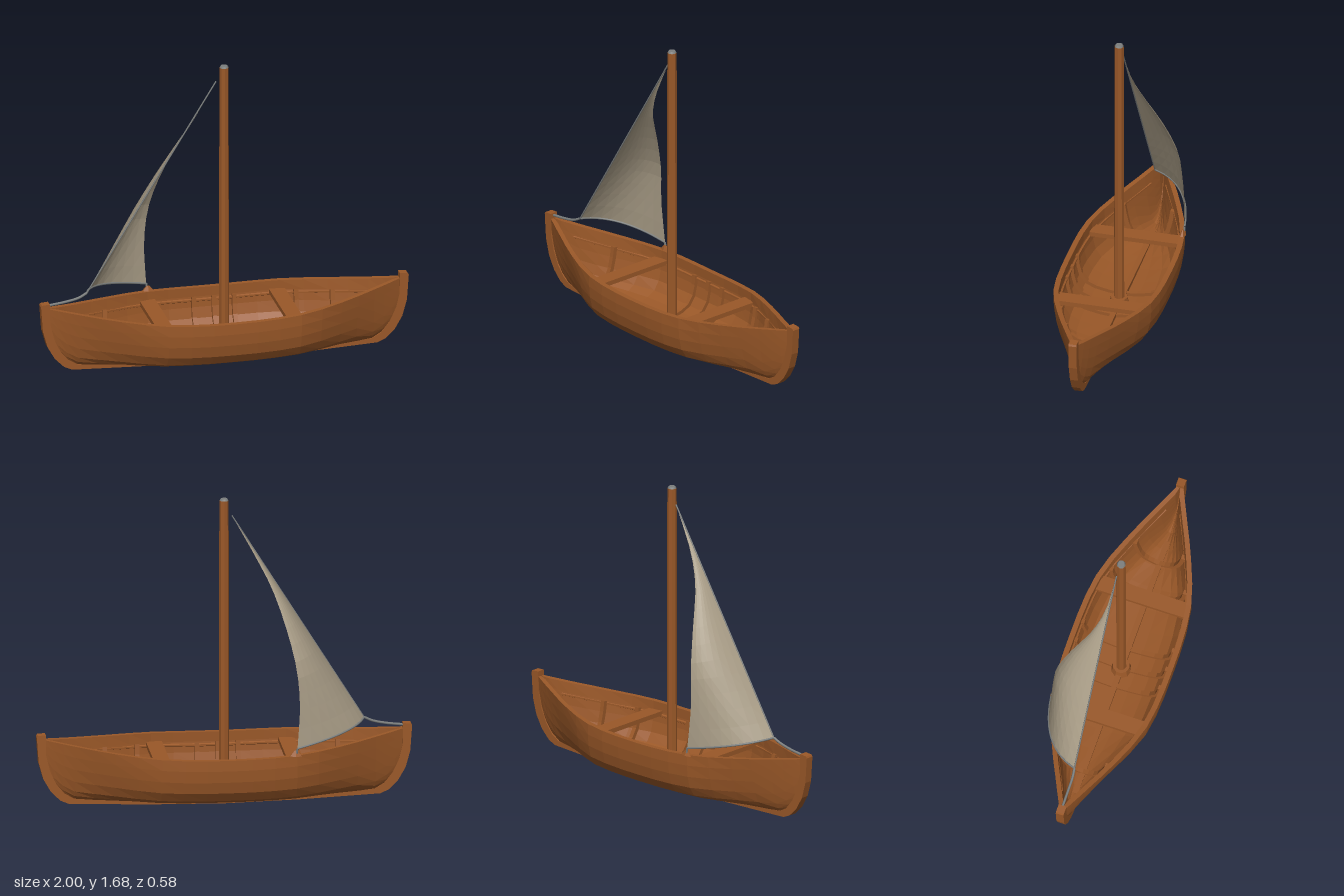
import * as THREE from 'three';

const wood = new THREE.MeshStandardMaterial({ color: 0x9a5828, flatShading: true });
wood.name = 'wood';
const canvas = new THREE.MeshStandardMaterial({ color: 0xa89c86, flatShading: true, side: THREE.DoubleSide });
canvas.name = 'canvas';
const rope = new THREE.MeshStandardMaterial({ color: 0x7c7f7e });
rope.name = 'rope grey';

// Half hull stations: x, half width, bottom height
const STATIONS = [
  [0, 0.29, 0.028], [0.12, 0.289, 0.028], [0.24, 0.283, 0.03], [0.36, 0.267, 0.032],
  [0.48, 0.232, 0.035], [0.6, 0.184, 0.038], [0.7, 0.14, 0.041], [0.8, 0.092, 0.047],
  [0.86, 0.064, 0.08], [0.91, 0.04, 0.135], [0.945, 0.023, 0.21], [0.97, 0.012, 0.28],
];
// Midship half section from gunwale to keel: width fraction, height fraction
const SECTION = [[1, 1], [1.005, 0.8], [0.985, 0.58], [0.93, 0.36], [0.8, 0.18], [0.6, 0.09], [0.3, 0.03], [0, 0]];

const sheer = (x) => 0.317 + 0.068 * (x / 0.96) ** 2;

function station(x) {
  const ax = Math.min(Math.abs(x), 0.97);
  let i = 0;
  while (i < STATIONS.length - 2 && ax > STATIONS[i + 1][0]) i++;
  const [p, q] = [STATIONS[i], STATIONS[i + 1]];
  const t = (ax - p[0]) / (q[0] - p[0]);
  return [p[1] + (q[1] - p[1]) * t, p[2] + (q[2] - p[2]) * t];
}

// Full section as [z, y] from the +z gunwale, under the keel, to the -z gunwale
function section(x, inset = 0) {
  const [w, b] = station(x);
  const width = Math.max(w - inset, 0.003);
  const bottom = b + inset;
  const vee = 0.75 * THREE.MathUtils.smoothstep(Math.abs(x), 0.3, 0.95);
  const half = SECTION.map(([f, g]) => [
    width * THREE.MathUtils.lerp(f, Math.pow(g, 0.62), vee),
    bottom + (sheer(x) - bottom) * g,
  ]);
  return [...half, ...half.slice(0, -1).reverse().map(([z, y]) => [-z, y])];
}

// Surface from a grid of points; closed joins each row's end to its start
function gridGeometry(rows, closed) {
  const n = rows[0].length;
  const index = [];
  for (let i = 0; i < rows.length - 1; i++) {
    for (let j = 0; j < (closed ? n : n - 1); j++) {
      const k = (j + 1) % n;
      const [a, b, c, d] = [i * n + j, i * n + k, (i + 1) * n + k, (i + 1) * n + j];
      index.push(a, b, c, a, c, d);
    }
  }
  const g = new THREE.BufferGeometry();
  g.setAttribute('position', new THREE.Float32BufferAttribute(rows.flat(2), 3));
  g.setIndex(index);
  g.computeVertexNormals();
  return g;
}

function add(parent, name, geometry, material, x = 0, y = 0, z = 0) {
  const mesh = new THREE.Mesh(geometry, material);
  mesh.name = name;
  mesh.position.set(x, y, z);
  parent.add(mesh);
  return mesh;
}

function tube(points, radius, segments = 16) {
  const curve = new THREE.CatmullRomCurve3(points.map((p) => new THREE.Vector3(...p)));
  return new THREE.TubeGeometry(curve, segments, radius, 6);
}

function buildHull(boat) {
  // Hollow shell: outer section down and up, inner section back
  const xs = STATIONS.map((s) => s[0]);
  const all = [...xs.slice(1).reverse().map((x) => -x), ...xs];
  const rows = all.map((x) =>
    [...section(x), ...section(x, 0.028).reverse()].map(([z, y]) => [x, y, z]));
  add(boat, 'hull', gridGeometry(rows, true), wood);

  // Keel and both stems in one piece
  const outer = [[0, 0.004], [0.4, 0.012], [0.83, 0.03], [0.875, 0.05], [0.925, 0.1], [0.965, 0.17], [0.99, 0.26], [1, 0.4]];
  const inner = [[0.952, 0.413], [0.95, 0.3], [0.93, 0.215], [0.895, 0.14], [0.85, 0.085], [0.8, 0.056], [0.4, 0.04], [0, 0.034]];
  const mirror = (pts) => pts.map(([x, y]) => [-x, y]).reverse();
  const outline = [...outer, [0.995, 0.41], ...inner, ...mirror(inner).slice(1), [-0.995, 0.41], ...mirror(outer).slice(0, -1)];
  const shape = new THREE.Shape(outline.map(([x, y]) => new THREE.Vector2(x, y)));
  const keel = new THREE.ExtrudeGeometry(shape, { depth: 0.044, bevelEnabled: false });
  add(boat, 'keelAndStems', keel, wood, 0, 0, -0.022);
}

function buildInterior(boat) {
  // Ribs follow the inside of the hull
  for (const x of [-0.62, -0.105, 0.005, 0.115, 0.44, 0.62]) {
    const low = section(x, 0.022);
    const high = section(x, 0.046).reverse();
    const shape = new THREE.Shape([...low.slice(1, -1), ...high.slice(1, -1)].map(([z, y]) => new THREE.Vector2(-z, y)));
    const rib = new THREE.ExtrudeGeometry(shape, { depth: 0.024, bevelEnabled: false });
    rib.rotateY(Math.PI / 2);
    add(boat, 'rib', rib, wood, x - 0.012);
  }
  // Benches
  for (const x of [-0.36, 0.345]) {
    const w = station(Math.abs(x) + 0.04)[0] - 0.012;
    add(boat, 'bench', new THREE.BoxGeometry(0.085, 0.025, w * 2), wood, x, 0.268, 0);
  }
  // Floor spine and mast step
  add(boat, 'keelson', new THREE.BoxGeometry(1.5, 0.025, 0.03), wood, 0, 0.068, 0);
  add(boat, 'mastStep', new THREE.CylinderGeometry(0.045, 0.055, 0.05, 10), wood, 0, 0.085, 0);
  // Side stringers
  for (const side of [1, -1]) {
    const pts = [];
    for (let x = -0.84; x <= 0.85; x += 0.12) pts.push([x, sheer(x) - 0.07, side * (station(x)[0] - 0.03)]);
    add(boat, 'stringer', tube(pts, 0.009, 28), wood);
  }
}

function buildRig(boat) {
  add(boat, 'mast', new THREE.CylinderGeometry(0.025, 0.028, 1.61, 8), wood, 0, 0.865, 0);
  add(boat, 'mastCap', new THREE.CylinderGeometry(0.019, 0.024, 0.01, 8), rope, 0, 1.675, 0);

  // Sail: straight leading edge, curved trailing edge, belly between them
  const head = new THREE.Vector3(-0.04, 1.59, -0.012);
  const tack = new THREE.Vector3(-0.745, 0.45, -0.005);
  const leech = new THREE.CatmullRomCurve3([
    [-0.36, 0.365, -0.265], [-0.375, 0.6, -0.252], [-0.358, 0.8, -0.235], [-0.312, 1.0, -0.17],
    [-0.245, 1.2, -0.08], [-0.165, 1.36, -0.032], [-0.04, 1.59, -0.012],
  ].map((p) => new THREE.Vector3(...p)));
  const rows = [];
  for (let i = 0; i <= 14; i++) {
    const v = i / 14;
    const a = tack.clone().lerp(head, v);
    const b = leech.getPoint(v);
    const belly = new THREE.Vector3(
      THREE.MathUtils.lerp(a.x, b.x, 0.17),
      (a.y + b.y) / 2 + 0.025 * (1 - v),
      THREE.MathUtils.lerp(a.z, b.z, 0.83));
    const curve = new THREE.QuadraticBezierCurve3(a, belly, b);
    rows.push(curve.getPoints(8).map((p) => p.toArray()));
  }
  add(boat, 'sail', gridGeometry(rows, false), canvas);

  // Edge ropes, tack line to the stem and sheet to the gunwale
  add(boat, 'footRope', tube(rows[0], 0.006), rope);
  add(boat, 'luffRope', tube([tack.toArray(), head.toArray()], 0.004), rope);
  add(boat, 'tackLine', tube([[-0.955, 0.4, 0], [-0.86, 0.412, 0], [-0.79, 0.428, 0], [-0.745, 0.45, -0.005]], 0.007), rope);
  add(boat, 'sheet', tube([[-0.36, 0.368, -0.265], [-0.355, 0.33, -0.263]], 0.006, 2), rope);
  add(boat, 'cleat', new THREE.CylinderGeometry(0.008, 0.038, 0.032, 6).scale(1, 1, 0.45), wood, -0.352, 0.338, -0.259);
}

export function createModel() {
  const boat = new THREE.Group();
  boat.name = 'sailboat';
  buildHull(boat);
  buildInterior(boat);
  buildRig(boat);
  return boat;
}
